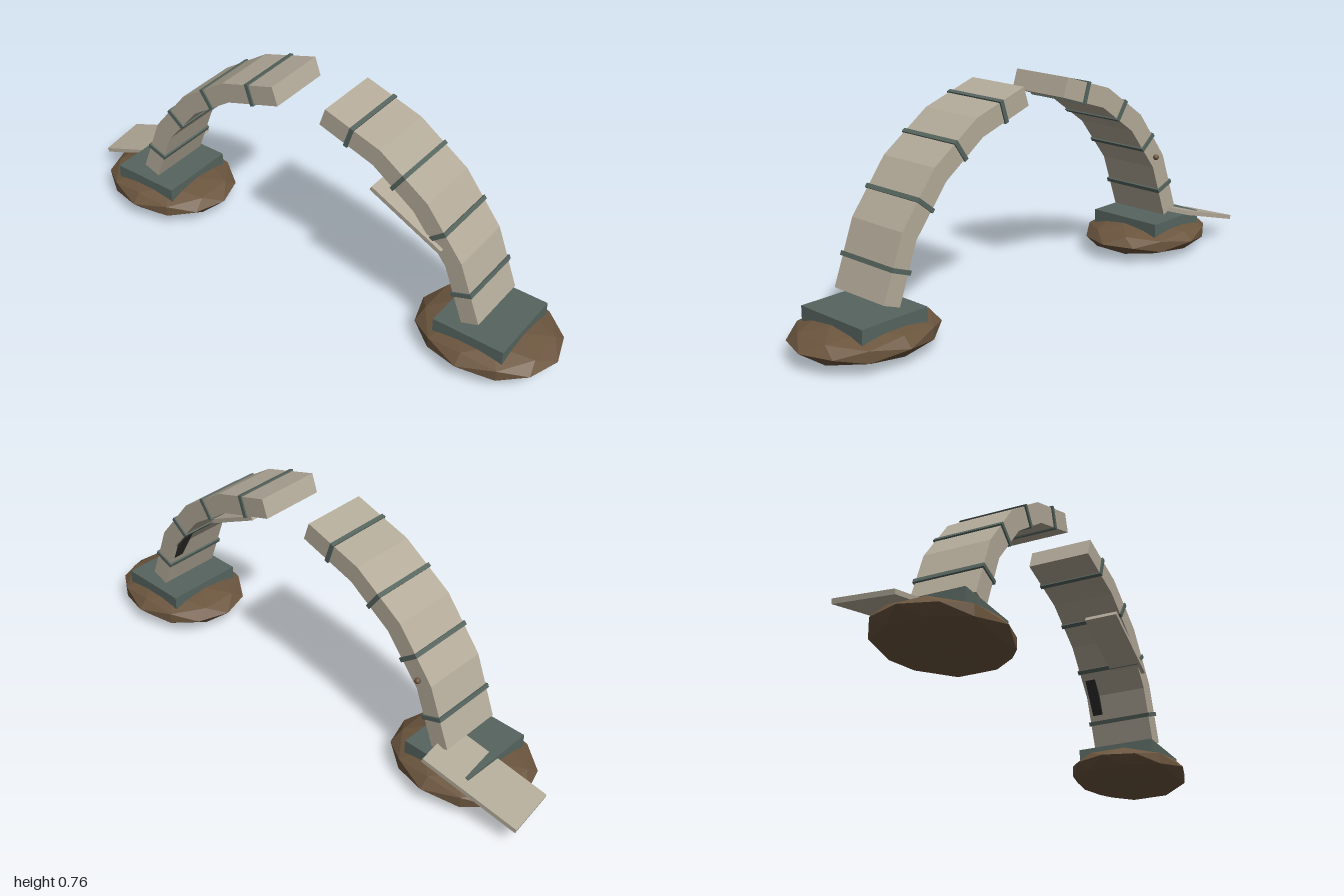
import * as THREE from 'three';

const material = (name, color) => {
  const m = new THREE.MeshStandardMaterial({ color, flatShading: true });
  m.name = name;
  return m;
};

export function createModel() {
  const model = new THREE.Group();
  model.name = 'brokenArch';
  const stone = material('paleStone', 0xb3aa99);
  const slate = material('greenSlate', 0x56645e);
  const earth = material('brownEarth', 0x6b553e);
  const dark = material('darkCrack', 0x2e302d);

  const add = (parent, name, geometry, mat, x = 0, y = 0, z = 0) => {
    const mesh = new THREE.Mesh(geometry, mat);
    mesh.name = name;
    mesh.position.set(x, y, z);
    parent.add(mesh);
    return mesh;
  };

  // Arch profile from the broken tip down to the foot
  const outer = [[-0.067, 0.766], [-0.28, 0.698], [-0.463, 0.573], [-0.6, 0.398], [-0.68, 0.185]];
  const inner = [[-0.045, 0.7], [-0.254, 0.632], [-0.414, 0.521], [-0.543, 0.361], [-0.617, 0.162]];
  const axis = 0.04; // mirror line between the two halves
  const depth = 0.236;

  for (const side of [1, -1]) {
    const half = new THREE.Group();
    half.name = side > 0 ? 'rightHalf' : 'leftHalf';
    model.add(half);
    const place = ([x, y]) => new THREE.Vector2(axis + side * (x - axis), y);
    const o = outer.map(place), n = inner.map(place);

    // Faceted stone arch
    const shape = new THREE.Shape([...o, ...n.slice().reverse()]);
    const arch = new THREE.ExtrudeGeometry(shape, { depth, bevelEnabled: false });
    add(half, 'archStone', arch.translate(0, 0, -depth / 2), stone);

    // A slate band round the middle of each segment
    for (let i = 0; i < 4; i++) {
      const a = o[i].clone().add(n[i]).multiplyScalar(0.5);
      const b = o[i + 1].clone().add(n[i + 1]).multiplyScalar(0.5);
      const band = add(half, 'archBand', new THREE.BoxGeometry(0.015, 0.08, 0.247), slate,
        (a.x + b.x) / 2, (a.y + b.y) / 2, 0);
      band.rotation.z = Math.atan2(b.y - a.y, b.x - a.x);
    }

    // Plinth on a flattened mound
    const cx = axis - side * 0.7;
    add(half, 'plinth', new THREE.BoxGeometry(0.262, 0.05, 0.292), slate, cx, 0.123, 0);
    const mound = new THREE.IcosahedronGeometry(1, 1).scale(0.257, 0.065, 0.217);
    add(half, 'mound', mound, earth, cx, 0.068, 0);
  }

  // Slab fallen against one plinth
  const fallen = add(model, 'fallenSlab', new THREE.BoxGeometry(0.365, 0.016, 0.192), stone, -0.81, 0.128, -0.088);
  fallen.rotation.set(0, 0.129, 0.29, 'YZX');

  // Slab lodged under the other half
  const lodged = add(model, 'lodgedSlab', new THREE.BoxGeometry(0.3, 0.016, 0.125), stone, 0.473, 0.485, 0.07);
  lodged.rotation.z = -0.46;

  // Dark strip along the inside of the arch
  const strip = add(model, 'innerStrip', new THREE.BoxGeometry(0.18, 0.012, 0.04), dark, 0.622, 0.352, -0.085);
  strip.rotation.z = -1.06;

  // Pebble on the back face
  add(model, 'pebble', new THREE.IcosahedronGeometry(0.011, 1), earth, -0.55, 0.4, -0.125);

  return model;
}
